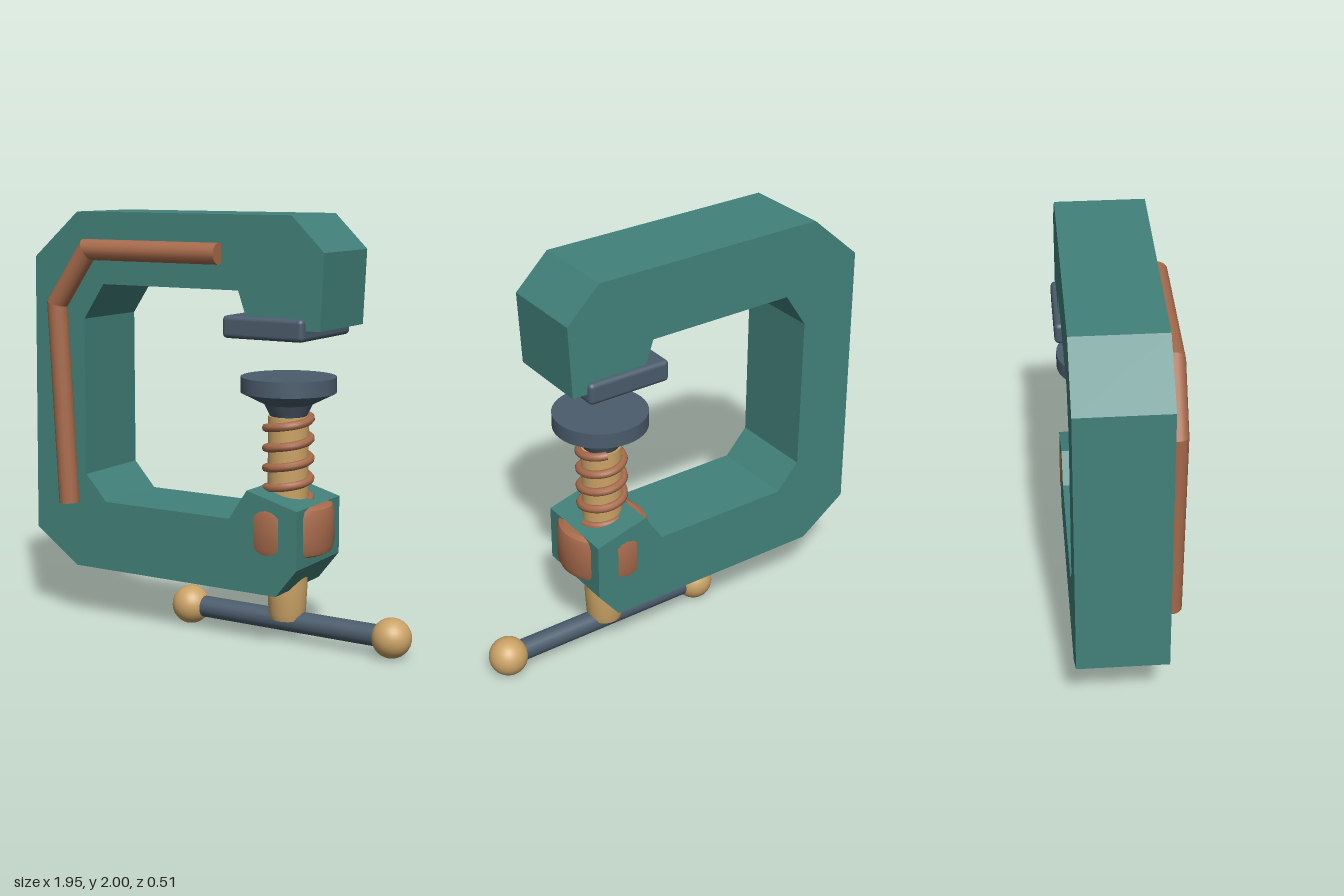
import * as THREE from 'three';
import { toCreasedNormals } from 'three/addons/utils/BufferGeometryUtils.js';
import { RoundedBoxGeometry } from 'three/addons/geometries/RoundedBoxGeometry.js';

const AX = 0.336, AZ = -0.022; // screw axis

function material(name, color) {
  const m = new THREE.MeshStandardMaterial({ color });
  m.name = name;
  return m;
}

// Profile of [radius, y] pairs, listed bottom to top
function lathe(profile, segments = 40) {
  const pts = profile.map(([r, y]) => new THREE.Vector2(r, y));
  return toCreasedNormals(new THREE.LatheGeometry(pts, segments), 0.5);
}

// Screw spring wound around the y axis
class Helix extends THREE.Curve {
  getPoint(t, target = new THREE.Vector3()) {
    const a = t * 4.2 * Math.PI * 2;
    return target.set(0.103 * Math.cos(a), 0.68 + 0.094 * 4.2 * t, -0.103 * Math.sin(a));
  }
}

// One straight piece of rod from a to b, its ends sheared to meet the neighbours in a mitre
function rodPiece(a, b, before, after, radius) {
  const dir = b.clone().sub(a), length = dir.length();
  const angle = dir.angle();
  const turn = (from, to) => Math.tan(Math.atan2(from.cross(to), from.dot(to)) / 2);
  const startShear = before ? turn(a.clone().sub(before), dir) : 0;
  const endShear = after ? turn(dir, after.clone().sub(b)) : 0;
  const geo = new THREE.CylinderGeometry(radius, radius, length, 14);
  const p = geo.attributes.position;
  for (let i = 0; i < p.count; i++) {
    const x = p.getX(i), y = p.getY(i);
    p.setY(i, y > 0 ? y + x * endShear : y - x * startShear);
  }
  geo.rotateZ(angle - Math.PI / 2);
  geo.translate((a.x + b.x) / 2, (a.y + b.y) / 2, 0);
  return geo;
}

export function createModel() {
  const green = material('green paint', 0x42817a);
  const copper = material('copper', 0xa86b4c);
  const brass = material('brass', 0xcba366);
  const steel = material('blue steel', 0x4b5c6c);

  const model = new THREE.Group();
  model.name = 'clamp';
  const add = (name, geo, mat, x = 0, y = 0, z = 0) => {
    const mesh = new THREE.Mesh(geo, mat);
    mesh.name = name;
    mesh.position.set(x, y, z);
    model.add(mesh);
    return mesh;
  };

  // C-shaped frame
  const outline = [
    [-0.96, 1.78], [-0.976, 0.434], [-0.738, 0.265], [0.39, 0.265], [0.497, 0.4],
    [0.497, 0.675], [0.235, 0.746], [0.14, 0.603], [-0.558, 0.603], [-0.672, 0.73],
    [-0.672, 1.49], [-0.558, 1.66], [0.188, 1.66], [0.245, 1.495], [0.607, 1.495],
    [0.624, 1.84], [0.46, 2], [-0.706, 2],
  ].map(([x, y]) => new THREE.Vector2(x, y));
  add('frame', new THREE.ExtrudeGeometry(new THREE.Shape(outline),
    { depth: 0.419, bevelEnabled: false }), green, 0, 0, -0.233);

  // Bent rod on the front of the frame
  const path = [[0.098, 1.823], [-0.63, 1.823], [-0.815, 1.56], [-0.762, 0.584]]
    .map(([x, y]) => new THREE.Vector2(x, y));
  for (let i = 0; i < path.length - 1; i++) {
    add('frontRod' + (i + 1),
      rodPiece(path[i], path[i + 1], path[i - 1], path[i + 2], 0.05), copper, 0, 0, 0.208);
  }

  // Fixed jaw pad
  add('upperPad', new RoundedBoxGeometry(0.418, 0.104, 0.47, 3, 0.022), steel, 0.324, 1.495, AZ);

  // Round nut showing through the sides of the frame
  add('nut', lathe([[0, 0.438], [0.185, 0.438], [0.208, 0.45], [0.218, 0.48],
    [0.218, 0.632], [0.208, 0.662], [0.185, 0.675], [0, 0.675]]), copper, AX, 0, AZ);

  // Screw, spring and moving pad
  add('screw', lathe([[0, 0.108], [0.08, 0.108], [0.088, 0.14], [0.095, 0.27],
    [0.095, 1.075], [0, 1.075]]), brass, AX, 0, AZ);
  add('spring', new THREE.TubeGeometry(new Helix(), 170, 0.02, 8), copper, AX, 0, AZ);
  add('movingPad', lathe([[0, 1.06], [0.078, 1.06], [0.113, 1.13], [0.222, 1.185],
    [0.222, 1.258], [0, 1.258]]), steel, AX, 0, AZ);

  // Turning bar with ball ends
  const bar = new THREE.CylinderGeometry(0.051, 0.051, 1.08, 24);
  bar.rotateZ(Math.PI / 2);
  add('handleBar', bar, steel, 0.34, 0.095, AZ);
  for (const side of [-1, 1]) {
    add(side < 0 ? 'rightKnob' : 'leftKnob', new THREE.SphereGeometry(0.093, 28, 18),
      brass, 0.34 + side * 0.54, 0.095, AZ);
  }

  return model;
}
